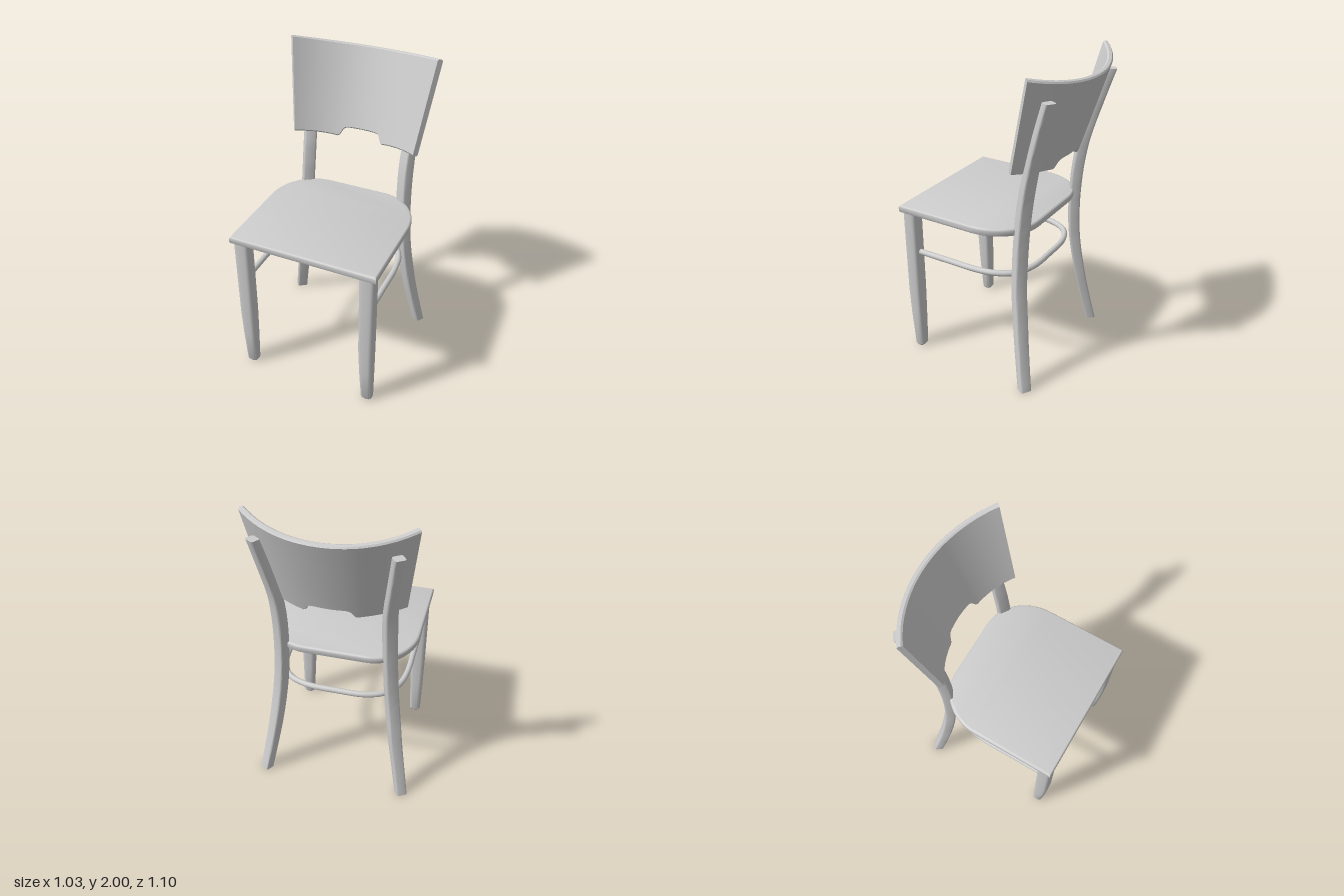
import * as THREE from 'three';
import { toCreasedNormals } from 'three/addons/utils/BufferGeometryUtils.js';

const material = new THREE.MeshStandardMaterial({ color: 0xcccccc });

function part(group, name, geometry) {
  const mesh = new THREE.Mesh(geometry, material);
  mesh.name = name;
  group.add(mesh);
}

// Skin through equal-length rings, each counter-clockwise seen from the far end, with capped ends.
function loft(rings, crease = 0.6) {
  const n = rings[0].length, last = (rings.length - 1) * n;
  const points = rings.flat(), index = [];
  const centre = (ring) => ring.reduce((sum, p) => sum.add(p), new THREE.Vector3()).divideScalar(n);
  const start = points.length, end = start + 1;
  points.push(centre(rings[0]), centre(rings[rings.length - 1]));
  for (let i = 0; i < n; i++) {
    const j = (i + 1) % n;
    for (let a = 0; a < last; a += n) {
      index.push(a + i, a + j, a + n + j, a + i, a + n + j, a + n + i);
    }
    index.push(start, j, i, end, last + i, last + j);
  }
  const geometry = new THREE.BufferGeometry().setFromPoints(points);
  geometry.setIndex(index);
  return toCreasedNormals(geometry, crease);
}

// Horizontal rounded rectangle at height y, turned by angle in the x-z plane.
function section(x, y, z, w, d, r, angle = 0) {
  const ring = [], c = Math.cos(angle), s = Math.sin(angle);
  for (let corner = 0; corner < 4; corner++) {
    const sx = corner === 0 || corner === 3 ? 1 : -1, sz = corner < 2 ? -1 : 1;
    for (let k = 0; k <= 3; k++) {
      const a = (corner + k / 3) * Math.PI / 2;
      const u = sx * (w / 2 - r) + r * Math.cos(a);
      const v = sz * (d / 2 - r) - r * Math.sin(a);
      ring.push(new THREE.Vector3(x + u * c - v * s, y, z + u * s + v * c));
    }
  }
  return ring;
}

// Seat panel: square front, rounded back
function seatGeometry() {
  const shape = new THREE.Shape();
  shape.moveTo(-0.475, -0.555);
  shape.lineTo(0.475, -0.555);
  shape.lineTo(0.475, -0.02);
  shape.bezierCurveTo(0.475, 0.14, 0.36, 0.29, 0.19, 0.29);
  shape.lineTo(-0.19, 0.29);
  shape.bezierCurveTo(-0.36, 0.29, -0.475, 0.14, -0.475, -0.02);
  shape.closePath();
  const geometry = new THREE.ExtrudeGeometry(shape, {
    depth: 0.02, bevelThickness: 0.015, bevelSize: 0.015, bevelOffset: -0.015,
    bevelSegments: 4, curveSegments: 16,
  });
  geometry.rotateX(-Math.PI / 2).translate(0, 1.02, 0);
  return toCreasedNormals(geometry, 0.6);
}

// Front leg: straight outer faces, inner and front faces tapering towards the foot
function frontLegGeometry(side) {
  const levels = [ // y, x min, x max, z min, z max
    [0, 0.387, 0.448, 0.462, 0.513],
    [0.012, 0.38, 0.455, 0.455, 0.52],
    [0.25, 0.371, 0.457, 0.455, 0.537],
    [0.45, 0.365, 0.458, 0.455, 0.545],
    [1.01, 0.362, 0.458, 0.455, 0.545],
  ];
  return loft(levels.map(([y, x0, x1, z0, z1]) =>
    section(side * (x0 + x1) / 2, y, (z0 + z1) / 2, x1 - x0, z1 - z0, 0.022)));
}

// Back leg: one swept post from the splayed foot to the backrest
function backLegGeometry(side) {
  const path = new THREE.CatmullRomCurve3([
    [0.472, 0, -0.355], [0.437, 0.2, -0.318], [0.404, 0.4, -0.286], [0.372, 0.65, -0.256],
    [0.355, 0.82, -0.25], [0.343, 1.03, -0.256], [0.338, 1.25, -0.278],
    [0.342, 1.42, -0.311], [0.37, 1.65, -0.377], [0.396, 1.86, -0.443],
  ].map((p) => new THREE.Vector3(...p)));
  const rings = path.getPoints(36).map((p) => {
    const taper = p.y > 1.3 ? 1 - 0.2 * (p.y - 1.3) / 0.56 : Math.min(1, 0.9 + p.y * 0.2);
    return section(side * p.x, p.y, p.z, 0.08 * taper, 0.07 * taper, 0.012, side * 0.58);
  });
  return loft(rings);
}

// Backrest: leaning, flared curved sheet with a notch in its lower edge
function backrestGeometry() {
  const thickness = 0.035;
  const half = [ // position across (0 middle, 1 end), lower edge height
    [0, 1.44], [0.1, 1.44], [0.2, 1.44], [0.25, 1.436], [0.285, 1.424], [0.31, 1.402],
    [0.33, 1.39], [0.355, 1.384], [0.37, 1.385], [0.45, 1.391], [0.55, 1.397],
    [0.65, 1.403], [0.75, 1.408], [0.85, 1.413], [0.93, 1.417], [1, 1.42],
  ];
  const columns = [...half.slice(1).reverse().map(([s, y]) => [-s, y]), ...half];
  const outline = [ // height fraction, depth fraction
    [0, 0.25], [0, 0.75], [0.014, 1], [0.33, 1], [0.66, 1], [0.986, 1],
    [1, 0.75], [1, 0.25], [0.986, 0], [0.66, 0], [0.33, 0], [0.014, 0],
  ];
  return loft(columns.map(([s, low]) => outline.map(([t, d]) => {
    const y = THREE.MathUtils.lerp(low, 1.94 + 0.06 * s * s, t);
    const f = (y - 1.42) / 0.55;
    const h = 0.4 + 0.065 * f, sag = 0.145 + 0.042 * f;
    const radius = (h * h + sag * sag) / (2 * sag);
    const angle = s * Math.atan2(h, radius - sag);
    const r = radius + d * thickness;
    return new THREE.Vector3(
      r * Math.sin(angle), y - 0.25 * d * thickness,
      -0.345 - 0.18 * f + radius - r * Math.cos(angle));
  })));
}

// U-shaped stretcher running from one front leg round the back to the other
function stretcherGeometry() {
  const half = [[0.41, 0.47], [0.41, 0.25], [0.408, 0.03], [0.385, -0.09],
    [0.32, -0.195], [0.2, -0.25]];
  const points = [...half, [0, -0.26], ...half.map(([x, z]) => [-x, z]).reverse()];
  const curve = new THREE.CatmullRomCurve3(points.map(([x, z]) => new THREE.Vector3(x, 0.723, z)));
  return new THREE.TubeGeometry(curve, 72, 0.019, 12);
}

export function createModel() {
  const chair = new THREE.Group();
  chair.name = 'chair';
  part(chair, 'seat', seatGeometry());
  part(chair, 'backrest', backrestGeometry());
  part(chair, 'stretcher', stretcherGeometry());
  for (const [label, side] of [['left', 1], ['right', -1]]) {
    part(chair, label + 'FrontLeg', frontLegGeometry(side));
    part(chair, label + 'BackLeg', backLegGeometry(side));
  }
  return chair;
}
